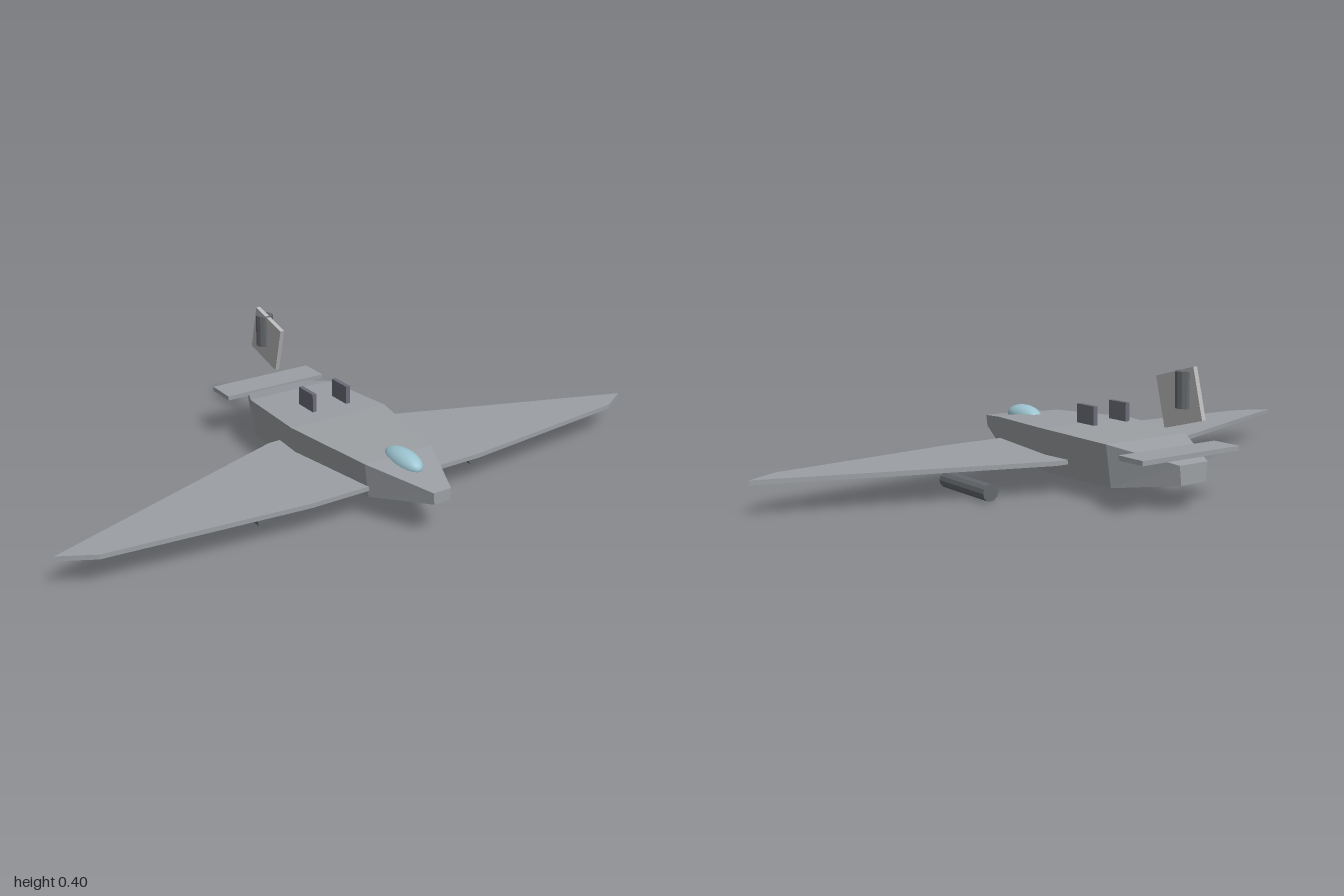
import * as THREE from 'three';

const paint = (name, color) => {
  const m = new THREE.MeshStandardMaterial({ color });
  m.name = name;
  return m;
};

// Hull through trapezoid stations [z, bottom y, top y, half width at the top], nose to tail
function hullGeometry(stations, taper) {
  const rings = stations.map(([z, y0, y1, w]) => [
    [w * taper, y0, z], [w, y1, z], [-w, y1, z], [-w * taper, y0, z],
  ]);
  const pos = [];
  const quad = (a, b, c, d) => pos.push(...a, ...b, ...c, ...a, ...c, ...d);
  for (let i = 0; i < rings.length - 1; i++) {
    for (let k = 0; k < 4; k++) {
      const n = (k + 1) % 4;
      quad(rings[i][k], rings[i + 1][k], rings[i + 1][n], rings[i][n]);
    }
  }
  quad(...rings[0]);
  quad(...rings[rings.length - 1].slice().reverse());
  const g = new THREE.BufferGeometry();
  g.setAttribute('position', new THREE.Float32BufferAttribute(pos, 3));
  g.computeVertexNormals();
  return g;
}

export function createModel() {
  const model = new THREE.Group();
  model.name = 'aircraft';
  const body = paint('hull grey', 0x9b9fa3);
  const finGrey = paint('light fin grey', 0xb8b8b8);
  const dark = paint('dark slate', 0x6a6c76);
  const podGrey = paint('pod grey', 0x64686c);
  const glass = paint('canopy blue', 0x9cc4d0);

  const add = (name, geometry, material, x = 0, y = 0, z = 0) => {
    const mesh = new THREE.Mesh(geometry, material);
    mesh.name = name;
    mesh.position.set(x, y, z);
    model.add(mesh);
    return mesh;
  };

  // Fuselage
  add('fuselage', hullGeometry([
    [0.515, 0.11, 0.146, 0.03],
    [0.31, 0.07, 0.176, 0.118],
    [0, 0.049, 0.186, 0.169],
    [-0.28, 0.049, 0.177, 0.15],
    [-0.48, 0.079, 0.136, 0.052],
  ], 0.88), body);

  // Canopy bubble
  const bubble = new THREE.SphereGeometry(1, 24, 16);
  bubble.scale(0.038, 0.034, 0.08);
  add('canopy', bubble, glass, 0, 0.167, 0.333);

  for (const side of [1, -1]) {
    const label = side > 0 ? 'left' : 'right';

    // Forward-raked wing, drawn in plan and laid flat
    const plan = new THREE.Shape([
      [0, 0.315], [0.3, 0.315], [0.9, 0.255], [1, 0.2], [0.19, -0.1], [0, -0.107],
    ].map(([x, z]) => new THREE.Vector2(side * x, z)));
    const wing = new THREE.ExtrudeGeometry(plan, { depth: 0.014, bevelEnabled: false });
    wing.rotateX(Math.PI / 2);
    add(label + 'Wing', wing, body, 0, 0.105, 0);

    // Pod under the wing
    const pod = new THREE.CylinderGeometry(0.0255, 0.0255, 0.24, 12).toNonIndexed();
    pod.rotateX(Math.PI / 2);
    pod.computeVertexNormals();
    add(label + 'Pod', pod, podGrey, side * 0.38, 0.0265, 0.08);

    // Small dorsal plate
    add(label + 'DorsalPlate', new THREE.BoxGeometry(0.014, 0.057, 0.08), dark,
      side * 0.061, 0.228, -0.08);
  }

  // Tailplane
  add('tailplane', new THREE.BoxGeometry(0.36, 0.014, 0.102), body, 0, 0.157, -0.423);

  // Tilted tail fin carrying an upright cylinder
  const fin = add('tailFin', new THREE.BoxGeometry(0.014, 0.149, 0.158), finGrey, 0, 0.313, -0.422);
  fin.rotation.x = 0.255;
  const drum = new THREE.CylinderGeometry(0.028, 0.028, 0.103, 12).toNonIndexed();
  drum.computeVertexNormals();
  add('tailCylinder', drum, podGrey, 0, 0.338, -0.44);

  return model;
}
